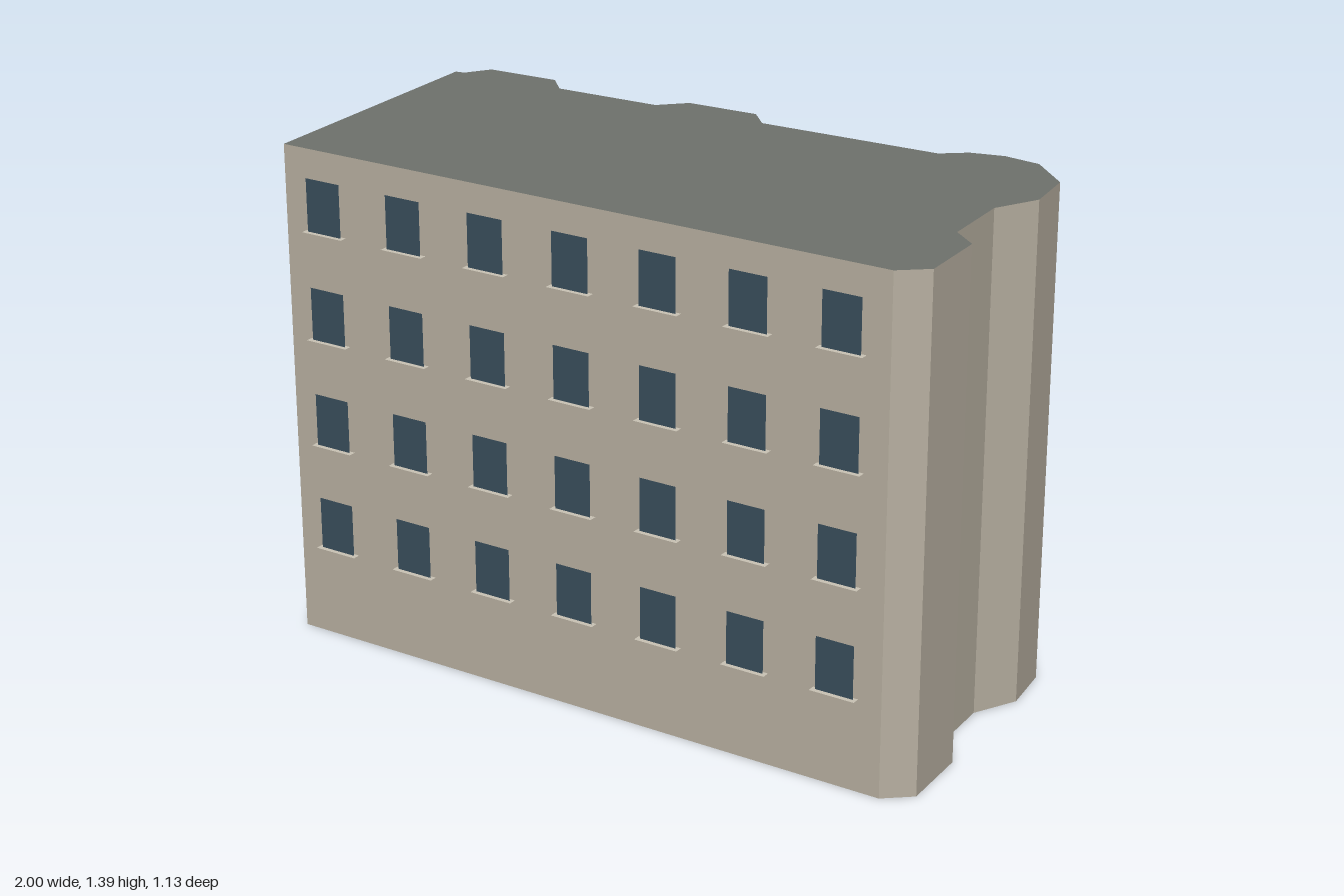
import * as THREE from 'three';

const HEIGHT = 1.387;
const FLOORS = 4, FIRST_WINDOW = 0.33, FLOOR_STEP = 0.302;
const WIN_W = 0.108, WIN_H = 0.146, WIN_OFFSET = 0.009;
const SILL_W = 0.128, SILL_DEPTH = 0.022;

// Footprint as [x, z], from the front left corner round by the +x side and the back
const OUTLINE = [
  [-0.863, 0.551], [0.933, 0.326], [0.998, 0.258], [0.965, 0.056], [0.888, 0.008],
  [0.853, -0.199], [0.901, -0.324], [0.864, -0.473], [0.74, -0.565], [0.635, -0.565],
  [0.548, -0.531], [0.49, -0.473], [-0.024, -0.392], [-0.088, -0.446], [-0.291, -0.413],
  [-0.35, -0.338], [-0.655, -0.29], [-0.72, -0.344], [-0.928, -0.309], [-0.965, -0.236],
  [-0.99, -0.229],
];

// Walls with windows: index of the wall's first corner, windows per floor
const WINDOW_WALLS = [
  ['front', 0, 7],
  ['backWide', 11, 2],
  ['backNarrow', 15, 1],
  ['side', 20, 3],
];

const mat = (color, side = THREE.FrontSide) => new THREE.MeshStandardMaterial({ color, side });

export function createModel() {
  const model = new THREE.Group();
  model.name = 'apartmentBlock';
  const wallMat = mat(0xb8b0a1);
  const roofMat = mat(0x6f726d);
  const glassMat = mat(0x384d5b, THREE.DoubleSide);
  const sillMat = mat(0xcac3b5, THREE.DoubleSide);

  // Building: footprint extruded upwards, caps in the roof colour
  const shape = new THREE.Shape(OUTLINE.map(([x, z]) => new THREE.Vector2(x, -z)));
  const bodyGeo = new THREE.ExtrudeGeometry(shape, { depth: HEIGHT, bevelEnabled: false });
  bodyGeo.rotateX(-Math.PI / 2);
  const body = new THREE.Mesh(bodyGeo, [roofMat, wallMat]);
  body.name = 'wallsAndRoof';
  model.add(body);

  // Window pane standing just off the wall, with a thin flat sill at its foot
  const paneGeo = new THREE.PlaneGeometry(WIN_W, WIN_H).translate(0, 0, WIN_OFFSET);
  const sillGeo = new THREE.PlaneGeometry(SILL_W, SILL_DEPTH)
    .rotateX(-Math.PI / 2)
    .translate(0, -WIN_H / 2, SILL_DEPTH / 2);

  for (const [name, corner, count] of WINDOW_WALLS) {
    const a = OUTLINE[corner];
    const b = OUTLINE[(corner + 1) % OUTLINE.length];
    const dx = b[0] - a[0], dz = b[1] - a[1];
    const wall = new THREE.Group();
    wall.name = name + 'Windows';
    for (let floor = 0; floor < FLOORS; floor++) {
      for (let i = 0; i < count; i++) {
        const t = (i + 0.5) / count;
        const unit = new THREE.Group();
        unit.name = 'window';
        const pane = new THREE.Mesh(paneGeo, glassMat);
        pane.name = 'windowPane';
        const sill = new THREE.Mesh(sillGeo, sillMat);
        sill.name = 'windowSill';
        unit.add(pane, sill);
        unit.position.set(a[0] + dx * t, FIRST_WINDOW + floor * FLOOR_STEP, a[1] + dz * t);
        unit.rotation.y = Math.atan2(-dz, dx); // face outwards
        wall.add(unit);
      }
    }
    model.add(wall);
  }
  return model;
}
